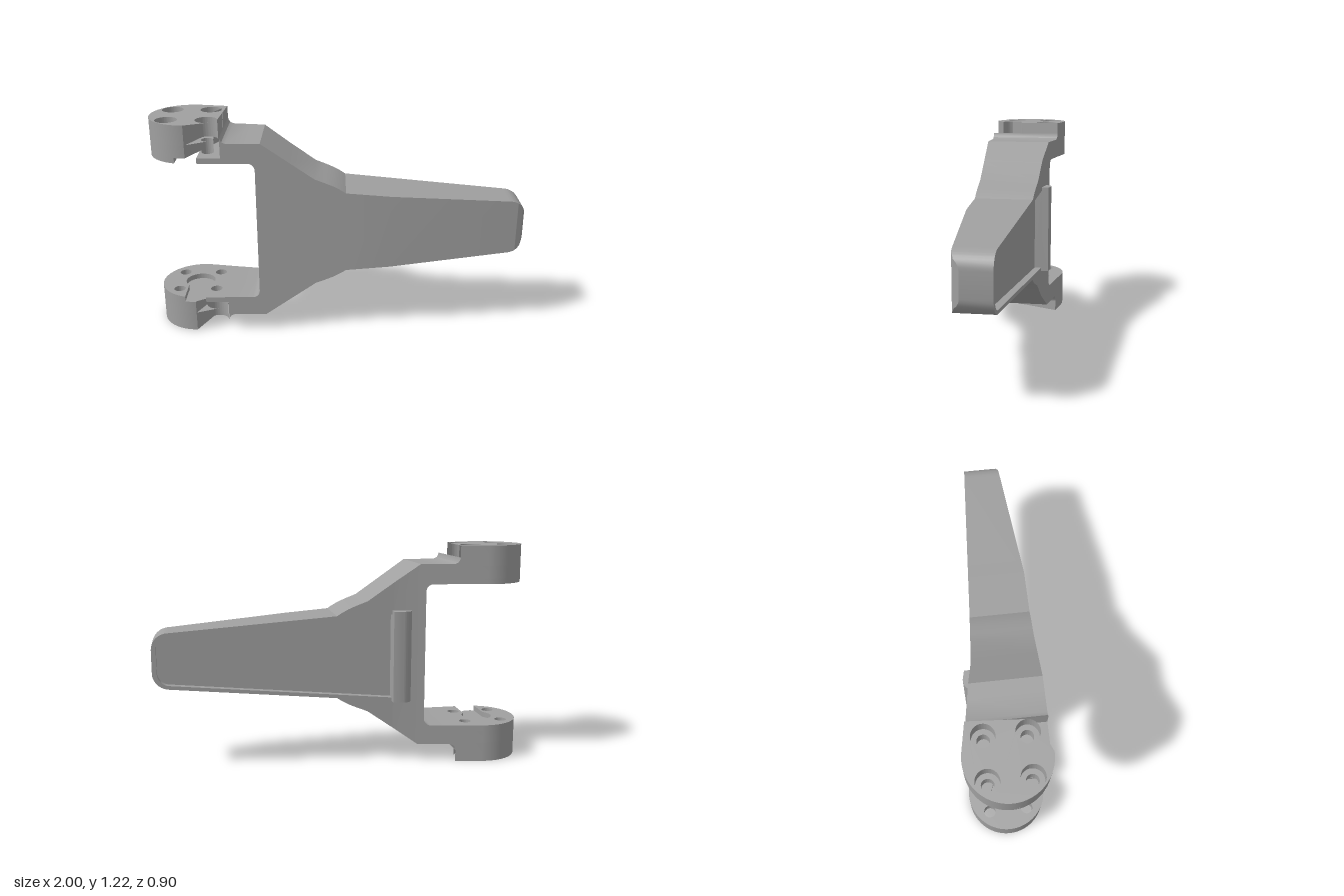
import * as THREE from 'three';
import { toCreasedNormals } from 'three/addons/utils/BufferGeometryUtils.js';

const MID = 0.61; // height of the symmetry plane
const TIP = 0.95; // where the tip rounding starts

// piecewise linear lookup in a list of [u, value]
function lerpTable(pts, u) {
  for (let i = 1; i < pts.length; i++) {
    const [a, p] = pts[i - 1], [b, q] = pts[i];
    if (u <= b) return p + (q - p) * (u - a) / (b - a);
  }
  return pts[pts.length - 1][1];
}

// plan outline: front and back edges along the arm
const FRONT = [[-0.625, 0.167], [0.29, 0.167], [1.0, 0.097], [1.028, 0.084], [1.045, 0.055]];
const BACK = [[-0.625, -0.238], [-0.275, -0.18], [1.045, -0.103]];
// half height along the arm
const HALF = [[-0.625, 0.545], [-0.622, 0.532], [-0.614, 0.519], [-0.595, 0.51], [-0.412, 0.51],
  [-0.125, 0.31], [-0.07, 0.289], [-0.02, 0.268], [0.02, 0.246], [0.044, 0.23], [TIP, 0.155]];
const front = u => lerpTable(FRONT, u);
const back = u => lerpTable(BACK, u);
const arc = (u, r, len) => 0.065 + r * Math.sqrt(Math.max(0, 1 - ((u - TIP) / len) ** 2));
const half = u => (u <= TIP ? lerpTable(HALF, u) : arc(u, 0.09, 0.095));
const pocketHalf = u => (u <= TIP ? 0.21 - 0.0828 * (u - 0.044) : arc(u, 0.07, 0.07));

// skin over stations { u, loop: [[z, y], ...] } with both ends closed
function loft(stations) {
  const pos = [];
  const put = (s, j) => {
    const [z, y] = s.loop[j % s.loop.length];
    pos.push(s.u, y, z);
  };
  const n = stations[0].loop.length;
  for (let i = 0; i < stations.length - 1; i++) {
    const s = stations[i], t = stations[i + 1];
    for (let j = 0; j < n; j++) {
      put(s, j); put(t, j); put(t, j + 1);
      put(s, j); put(t, j + 1); put(s, j + 1);
    }
  }
  const first = stations[0], last = stations[stations.length - 1];
  for (let j = 1; j < n - 1; j++) {
    put(first, 0); put(first, j); put(first, j + 1);
    put(last, 0); put(last, j + 1); put(last, j);
  }
  const g = new THREE.BufferGeometry();
  g.setAttribute('position', new THREE.Float32BufferAttribute(pos, 3));
  return toCreasedNormals(g, 0.5);
}

// plan shape raised between two heights
function slab(shape, y0, y1) {
  const g = new THREE.ExtrudeGeometry(shape, { depth: y1 - y0, bevelEnabled: false, curveSegments: 32 });
  g.rotateX(Math.PI / 2).translate(0, y1, 0);
  return toCreasedNormals(g, 0.5);
}

// rounded hinge lug outline with four bolt holes, optionally cut by a keyhole slot
const CU = -0.812, CV = -0.051, LUG_R = 0.218;
function lugShape(holeR, slotted) {
  const s = new THREE.Shape();
  const end = 4.876, w = 0.06, r = 0.085;
  s.moveTo(-0.625, 0.167);
  if (slotted) {
    const a = Math.acos(w / r);
    s.lineTo(CU + w, 0.167);
    s.absarc(CU, CV, r, a, Math.PI - a, true);
    s.absarc(CU, CV, LUG_R, Math.PI / 2 + Math.asin(w / LUG_R), end, false);
  } else {
    s.absarc(CU, CV, LUG_R, Math.PI / 2, end, false);
  }
  s.lineTo(-0.625, -0.238);
  s.closePath();
  for (const i of [-1, 1]) for (const j of [-1, 1]) {
    const h = new THREE.Path();
    h.absarc(CU + i * 0.107, CV + j * 0.107, holeR, 0, Math.PI * 2, true);
    s.holes.push(h);
  }
  return s;
}

export function createModel() {
  const model = new THREE.Group();
  model.name = 'forkedBracket';
  const arm = new THREE.Group();
  arm.name = 'angledArm';
  arm.rotation.y = THREE.MathUtils.degToRad(20);
  model.add(arm);

  const metal = new THREE.MeshStandardMaterial({ color: 0xa0a0a0 });
  metal.name = 'grey metal';
  const add = (geometry, name, parent = arm) => {
    const m = new THREE.Mesh(geometry, metal);
    m.name = name;
    parent.add(m);
  };

  // main blade with a shallow pocket in its back
  const START = -0.444, P0 = -0.262, P1 = 1.02;
  const section = (u, depth) => {
    const f = front(u), b = back(u), h = half(u), p = Math.min(pocketHalf(u), h);
    return { u, loop: [[f, MID - h], [f, MID + h], [b, MID + h], [b, MID + p],
      [b + depth, MID + p], [b + depth, MID - p], [b, MID - p], [b, MID - h]] };
  };
  const us = [START, -0.275, P0, 0.29, P1, 1.0, 1.028];
  for (const [u] of HALF) if (u > START) us.push(u);
  for (let i = 1; i <= 8; i++) {
    const s = Math.sin(i * Math.PI / 16);
    us.push(TIP + 0.095 * s);
    if (i < 8) us.push(TIP + 0.07 * s);
  }
  us.sort((a, b) => a - b);
  const blade = [];
  for (const u of us) {
    const inside = u >= P0 && u <= P1;
    if (u === P0) blade.push(section(u, 0));
    blade.push(section(u, inside ? 0.04 : 0));
    if (u === P1) blade.push(section(u, 0));
  }
  add(loft(blade), 'blade');

  // rounded lip at the wide end of the pocket
  const lip = new THREE.Shape();
  lip.moveTo(-0.368, -0.12);
  lip.lineTo(-0.368, -0.195);
  lip.quadraticCurveTo(-0.355, -0.233, -0.31, -0.231);
  lip.lineTo(-0.262, -0.22);
  lip.lineTo(-0.262, -0.12);
  add(slab(lip, MID - 0.255, MID + 0.255), 'pocketLip');

  // fork arms with filleted inner corners, and the hinge lugs
  const armU = HALF.map(p => p[0]).filter(u => u < START);
  for (let i = 0; i <= 6; i++) armU.push(-0.484 + 0.04 * Math.sin(i * Math.PI / 12));
  armU.sort((a, b) => a - b);
  const inner = u => 0.36 + Math.sqrt(Math.max(0, 0.04 ** 2 - Math.max(0, u + 0.484) ** 2));
  for (const side of [1, -1]) {
    const fork = new THREE.Group();
    fork.name = side > 0 ? 'upperFork' : 'lowerFork';
    arm.add(fork);
    add(loft(armU.map(u => {
      const ys = [MID + side * inner(u), MID + side * half(u)];
      const lo = Math.min(...ys), hi = Math.max(...ys), f = front(u), b = back(u);
      return { u, loop: [[f, lo], [f, hi], [b, hi], [b, lo]] };
    })), 'forkArm', fork);
    const layer = (a, b, shape, name) => {
      const ys = [MID + side * a, MID + side * b];
      add(slab(shape, Math.min(...ys), Math.max(...ys)), name, fork);
    };
    layer(0.4, 0.43, lugShape(0.033, true), 'lugSlotLayer');
    layer(0.43, 0.5, lugShape(0.033, false), 'lugCore');
    layer(0.5, 0.61, lugShape(0.06, false), 'lugCounterbores');
  }
  return model;
}
